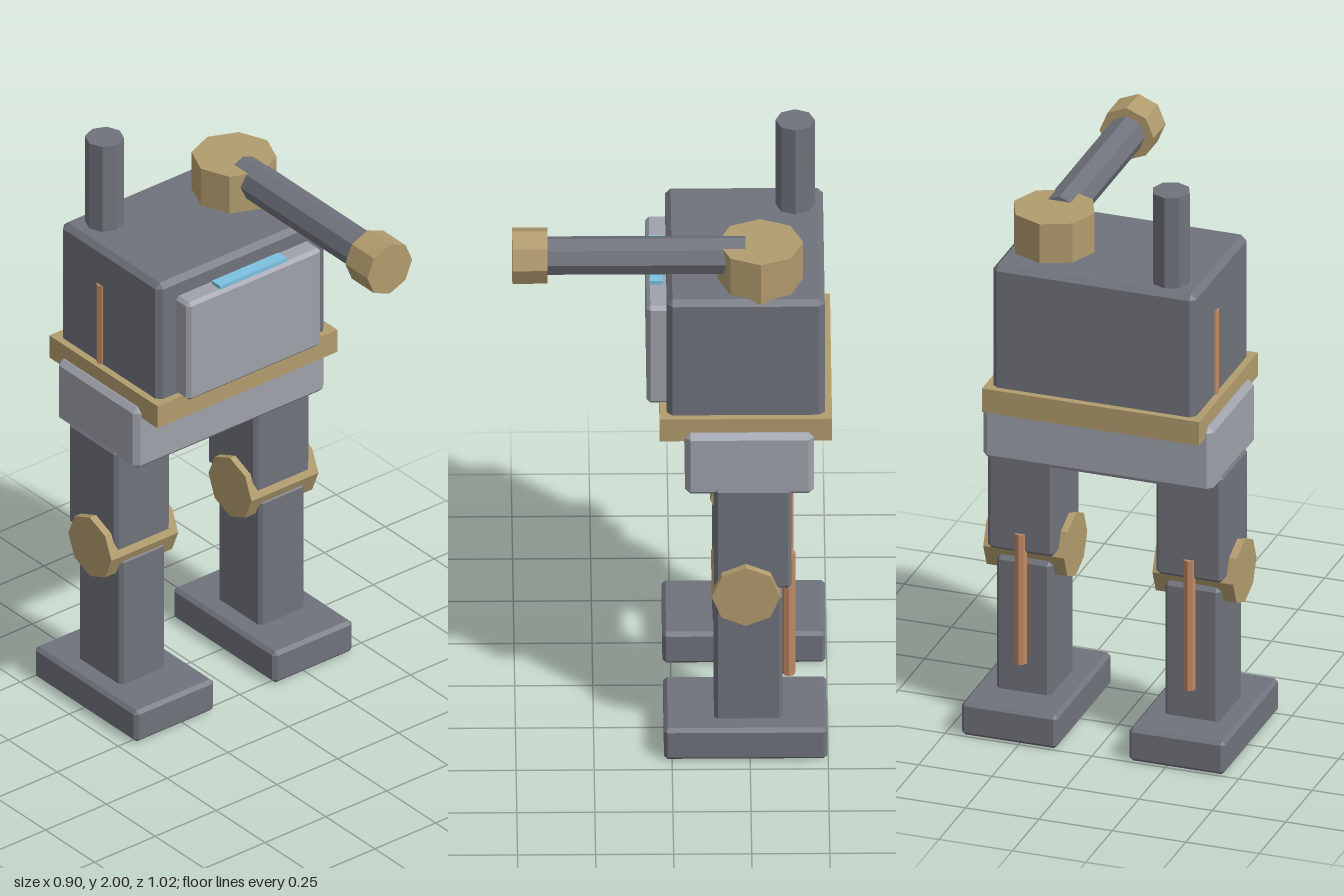
import * as THREE from 'three';
import { ConvexGeometry } from 'three/addons/geometries/ConvexGeometry.js';

const mat = (color) => new THREE.MeshStandardMaterial({ color, flatShading: true });

export function createModel() {
  const model = new THREE.Group();
  model.name = 'walker';
  const steel = mat(0x70737c);
  const plate = mat(0x9fa2ab);
  const brass = mat(0xb29c6e);
  const copper = mat(0xc08a64);
  const glass = mat(0x7cc0e0);

  function add(parent, name, geometry, material, x, y, z) {
    const mesh = new THREE.Mesh(geometry, material);
    mesh.name = name;
    mesh.position.set(x, y, z);
    parent.add(mesh);
    return mesh;
  }

  // Box given by its ranges, with a single flat chamfer c on every edge
  function block(parent, name, material, [x0, x1], [y0, y1], [z0, z1], c) {
    const w = (x1 - x0) / 2, h = (y1 - y0) / 2, d = (z1 - z0) / 2;
    let geometry;
    if (c) {
      const points = [];
      for (const i of [-1, 1]) for (const j of [-1, 1]) for (const k of [-1, 1]) {
        points.push(
          new THREE.Vector3(i * w, j * (h - c), k * (d - c)),
          new THREE.Vector3(i * (w - c), j * h, k * (d - c)),
          new THREE.Vector3(i * (w - c), j * (h - c), k * d));
      }
      geometry = new ConvexGeometry(points);
    } else {
      geometry = new THREE.BoxGeometry(2 * w, 2 * h, 2 * d);
    }
    return add(parent, name, geometry, material, (x0 + x1) / 2, (y0 + y1) / 2, (z0 + z1) / 2);
  }

  // Eight-sided rod along the given axis
  function rod(parent, name, material, axis, r, length, x, y, z) {
    const geometry = new THREE.CylinderGeometry(r, r, length, 8);
    if (axis === 'x') geometry.rotateZ(Math.PI / 2);
    if (axis === 'z') geometry.rotateX(Math.PI / 2);
    return add(parent, name, geometry, material, x, y, z);
  }

  // Legs
  for (const [side, s] of [['left', 1], ['right', -1]]) {
    const leg = new THREE.Group();
    leg.name = side + 'Leg';
    model.add(leg);
    const span = (a, b) => (s > 0 ? [a, b] : [-b, -a]);
    block(leg, 'foot', steel, span(0.122, 0.448), [0, 0.117], [-0.497, 0.026], 0.012);
    block(leg, 'shin', steel, span(0.193, 0.38), [0.1, 0.585], [-0.355, -0.135], 0.012);
    block(leg, 'thigh', steel, span(0.173, 0.4), [0.62, 1.0], [-0.383, -0.135], 0.012);
    rod(leg, 'knee', brass, 'x', 0.11, 0.275, s * 0.288, 0.608, -0.237);
    rod(leg, 'piston', copper, 'y', 0.021, 0.46, s * 0.287, 0.46, -0.375);
  }

  // Hips and waist
  block(model, 'hips', plate, [-0.392, 0.392], [0.97, 1.2], [-0.455, -0.042], 0.018);
  block(model, 'waistTrim', brass, [-0.37, 0.37], [1.167, 1.25], [-0.513, 0.039]);

  // Torso with front armour and viewport
  block(model, 'torso', steel, [-0.346, 0.346], [1.2, 1.68], [-0.49, 0.016], 0.018);
  block(model, 'frontArmour', plate, [-0.275, 0.275], [1.247, 1.615], [-0.02, 0.08], 0.012);
  block(model, 'viewport', glass, [-0.137, 0.137], [1.54, 1.627], [0.027, 0.07]);
  rod(model, 'sidePipe', copper, 'y', 0.02, 0.36, -0.335, 1.363, -0.285);

  // Exhaust stack
  rod(model, 'exhaustStack', steel, 'y', 0.063, 0.4, -0.234, 1.8, -0.4);

  // Roof turret and gun
  rod(model, 'turret', brass, 'y', 0.137, 0.177, 0.206, 1.7295, -0.285);
  rod(model, 'gunBarrel', steel, 'z', 0.063, 0.687, 0.206, 1.771, 0.1065);
  rod(model, 'muzzle', brass, 'z', 0.092, 0.113, 0.206, 1.771, 0.4535);

  return model;
}
